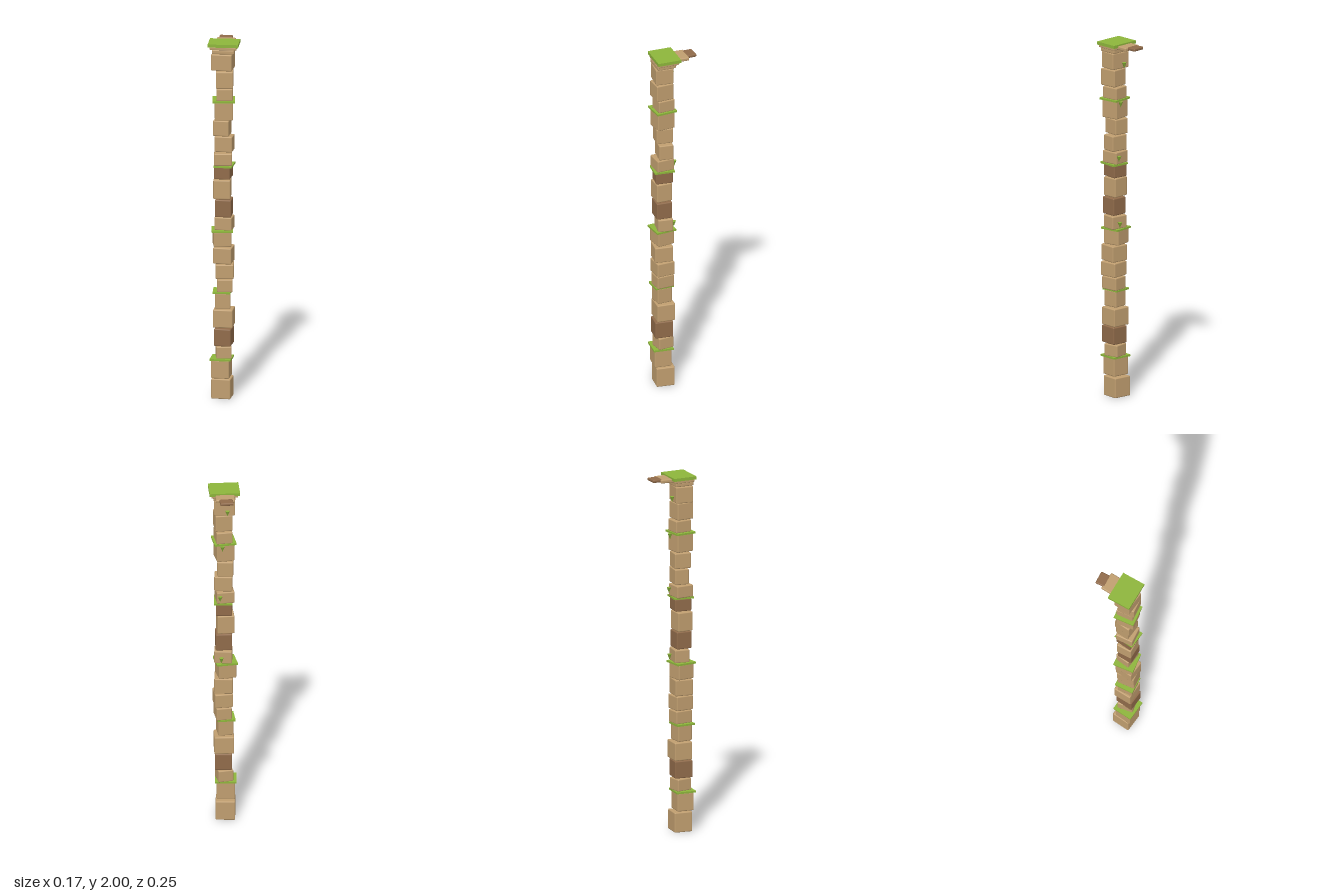
import * as THREE from 'three';
import { RoundedBoxGeometry } from 'three/addons/geometries/RoundedBoxGeometry.js';

const material = (name, color) => {
  const m = new THREE.MeshStandardMaterial({ color });
  m.name = name;
  return m;
};

export function createModel() {
  const sand = material('sandstone', 0xc09e6f);
  const brown = material('brown stone', 0x906b4a);
  const moss = material('moss green', 0x8db53b);

  const group = new THREE.Group();
  group.name = 'stonePillar';

  // Softly bevelled box given by its outer extents after turning by yaw
  function block(name, mat, [x0, x1], [y0, y1], [z0, z1], yaw = 0, bevel = 0.006) {
    const c = Math.cos(yaw), s = Math.abs(Math.sin(yaw));
    const ex = x1 - x0, ez = z1 - z0, k = c * c - s * s;
    const w = (ex * c - ez * s) / k, d = (ez * c - ex * s) / k, h = y1 - y0;
    const geometry = bevel > 0
      ? new RoundedBoxGeometry(w, h, d, 2, Math.min(bevel, h * 0.35))
      : new THREE.BoxGeometry(w, h, d);
    const mesh = new THREE.Mesh(geometry, mat);
    mesh.name = name;
    mesh.position.set((x0 + x1) / 2, (y0 + y1) / 2, (z0 + z1) / 2);
    mesh.rotation.y = yaw;
    group.add(mesh);
  }

  // Stacked stones: x range, y range, z range, yaw
  const stones = [
    [[-0.066, 0.049], [0, 0.112], [-0.005, 0.107], -0.09],
    [[-0.066, 0.042], [0.117, 0.220], [0.012, 0.116], -0.09],
    [[-0.050, 0.047], [0.226, 0.294], [0.006, 0.107], 0.16],
    [[-0.050, 0.052], [0.299, 0.396], [0.006, 0.116], -0.09],
    [[-0.056, 0.056], [0.401, 0.502], [0.000, 0.107], -0.04],
    [[-0.050, 0.040], [0.506, 0.597], [0.015, 0.107], 0.08],
    [[-0.041, 0.053], [0.603, 0.675], [0.006, 0.114], 0.10],
    [[-0.048, 0.059], [0.679, 0.759], [0.006, 0.116], 0.08],
    [[-0.055, 0.056], [0.763, 0.853], [0.006, 0.118], -0.10],
    [[-0.066, 0.046], [0.857, 0.942], [0.001, 0.114], 0.17],
    [[-0.050, 0.056], [0.948, 1.021], [0.006, 0.100], -0.12],
    [[-0.045, 0.047], [1.025, 1.122], [0.016, 0.107], -0.03],
    [[-0.056, 0.040], [1.126, 1.233], [0.016, 0.107], 0.03],
    [[-0.050, 0.047], [1.238, 1.308], [0.006, 0.109], -0.10],
    [[-0.056, 0.049], [1.315, 1.383], [0.005, 0.112], 0.08],
    [[-0.050, 0.056], [1.388, 1.475], [0.006, 0.095], -0.10],
    [[-0.056, 0.040], [1.480, 1.567], [0.002, 0.104], -0.10],
    [[-0.056, 0.055], [1.571, 1.673], [0.002, 0.116], 0.13],
    [[-0.045, 0.053], [1.679, 1.747], [0.002, 0.107], 0.10],
    [[-0.046, 0.056], [1.751, 1.846], [0.012, 0.118], 0.08],
    [[-0.066, 0.057], [1.850, 1.942], [0.005, 0.114], -0.09],
  ];
  const darkStones = [3, 11, 13];
  stones.forEach(([x, y, z, yaw], i) =>
    block('stone' + (i + 1), darkStones.includes(i) ? brown : sand, x, y, z, yaw));

  // Thin moss slabs lying between the stones
  const mossSlabs = [
    [[-0.073, 0.051], 0.223, [0.004, 0.124], -0.07],
    [[-0.061, 0.042], 0.600, [0.006, 0.117], 0.05],
    [[-0.073, 0.056], 0.945, [-0.006, 0.123], 0.12],
    [[-0.052, 0.058], 1.311, [0.000, 0.121], -0.08],
    [[-0.066, 0.066], 1.676, [-0.006, 0.123], 0.10],
  ];
  mossSlabs.forEach(([x, y, z, yaw], i) =>
    block('mossSlab' + (i + 1), moss, x, [y - 0.005, y + 0.005], z, yaw, 0));

  // Small hanging moss tufts on the back
  [[-0.015, 1.868], [0.012, 1.652], [0.025, 1.347], [0.018, 0.973]].forEach(([x, y], i) => {
    const tuft = new THREE.Mesh(new THREE.ConeGeometry(0.013, 0.032, 6), moss);
    tuft.name = 'mossTuft' + (i + 1);
    tuft.position.set(x, y, 0);
    tuft.rotation.x = Math.PI;
    group.add(tuft);
  });

  // Stepped capital with a grassy top
  block('capitalLower', sand, [-0.061, 0.061], [1.944, 1.968], [0.002, 0.108]);
  block('capitalUpper', sand, [-0.073, 0.073], [1.967, 1.984], [-0.01, 0.108], 0, 0.004);
  block('grassTop', moss, [-0.083, 0.083], [1.983, 2.0], [-0.02, 0.113], 0, 0);

  // Ledge stones reaching out at the back
  block('ledgeInner', sand, [-0.054, 0.054], [1.972, 1.992], [-0.082, 0.02], -0.04);
  block('ledgeOuter', brown, [-0.04, 0.035], [1.977, 1.994], [-0.128, -0.07], 0.05);

  return group;
}
